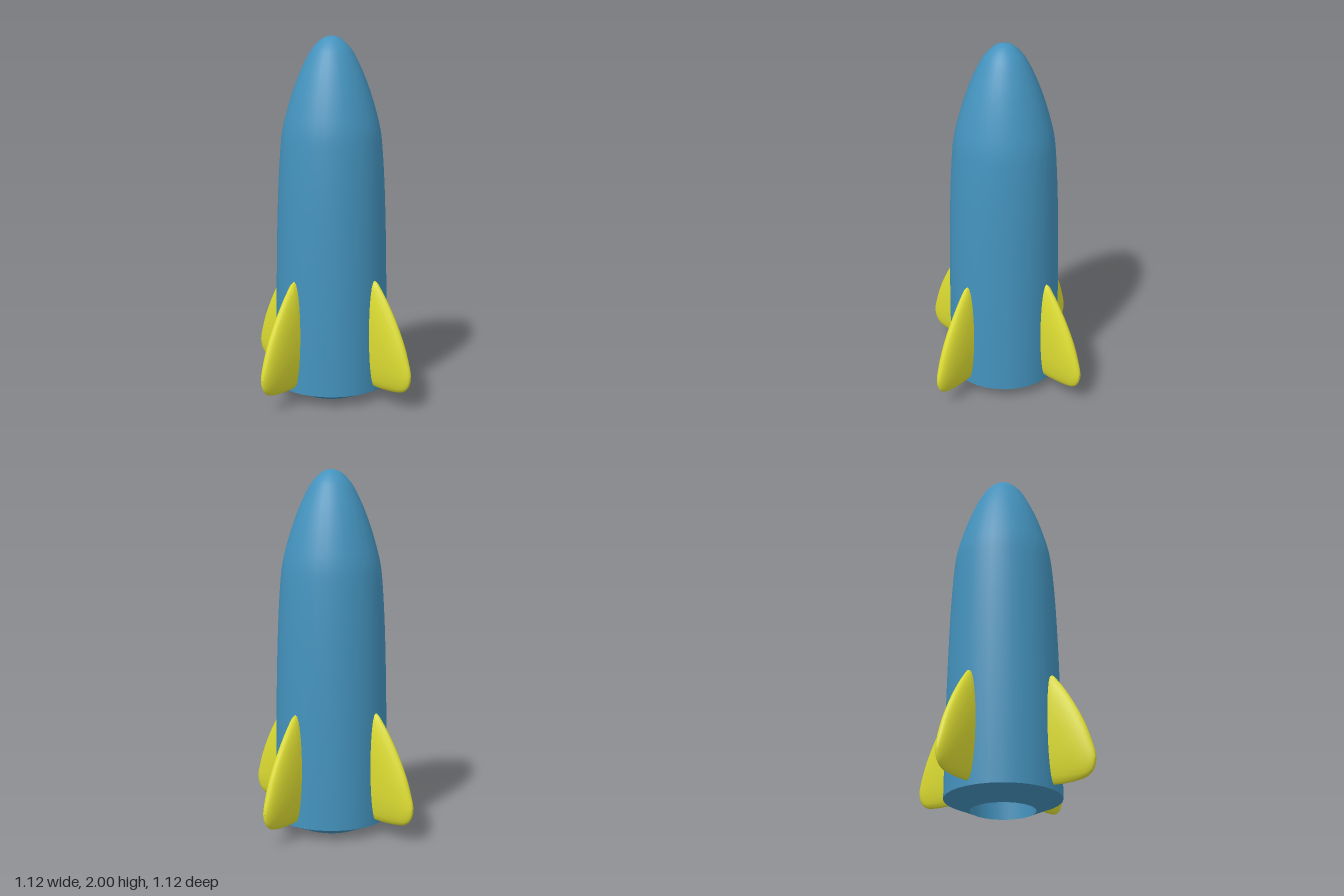
import * as THREE from 'three';

const SIDES = 32;
const blue = new THREE.MeshStandardMaterial({ color: 0x4493be });
const yellow = new THREE.MeshStandardMaterial({ color: 0xdede33 });

// Surface of revolution; the profile runs from the underside outward and up
function lathe(name, points) {
  const mesh = new THREE.Mesh(new THREE.LatheGeometry(points, SIDES), blue);
  mesh.name = name;
  return mesh;
}

const v = (r, y) => new THREE.Vector2(r, y);

// Fin along +x: elliptical cross-sections lofted from root to tip
function finGeometry() {
  // (distance from axis, bottom edge, top edge)
  const outline = new THREE.CatmullRomCurve3([
    [0.29, 0.088, 0.685], [0.32, 0.086, 0.682], [0.35, 0.084, 0.648], [0.40, 0.083, 0.577],
    [0.46, 0.086, 0.475], [0.51, 0.096, 0.37], [0.543, 0.122, 0.275],
    [0.558, 0.155, 0.222], [0.562, 0.187, 0.189],
  ].map((p) => new THREE.Vector3(...p)));
  const rings = 28, around = 24;
  const positions = [], indices = [];
  for (let i = 0; i <= rings; i++) {
    const { x, y: bottom, z: top } = outline.getPoint(i / rings);
    const u = Math.max(0, (x - 0.3) / 0.264);
    const thick = 0.043 * Math.sqrt(Math.max(0, 1 - u ** 3));
    for (let j = 0; j < around; j++) {
      const a = (j / around) * Math.PI * 2;
      positions.push(x, (top + bottom) / 2 + ((top - bottom) / 2) * Math.cos(a), thick * Math.sin(a) - 0.003);
      if (i < rings) {
        const p = i * around + j, q = i * around + ((j + 1) % around);
        indices.push(p, q, p + around, q, q + around, p + around);
      }
    }
  }
  const geometry = new THREE.BufferGeometry();
  geometry.setAttribute('position', new THREE.Float32BufferAttribute(positions, 3));
  geometry.setIndex(indices);
  geometry.computeVertexNormals();
  return geometry;
}

export function createModel() {
  const model = new THREE.Group();
  model.name = 'rocket';

  // Hull: slightly tapered tube that curves into a rounded nose
  const hull = new THREE.SplineCurve([
    v(0.313, 0.06), v(0.312, 0.35), v(0.309, 0.65), v(0.303, 0.95), v(0.294, 1.2),
    v(0.281, 1.4), v(0.268, 1.5), v(0.243, 1.6), v(0.212, 1.7), v(0.174, 1.8),
    v(0.125, 1.9), v(0.088, 1.95), v(0.045, 1.987), v(0, 2),
  ]).getPoints(52);
  hull[hull.length - 1].set(0, 2);
  model.add(lathe('hull', hull));

  // Sloping base and the recessed exhaust opening
  model.add(lathe('baseBevel', [v(0.178, 0.004), v(0.313, 0.06)]));
  model.add(lathe('exhaustRim', [v(0.172, 0), v(0.178, 0.004)]));
  model.add(lathe('exhaustWall', [v(0.172, 0.15), v(0.172, 0)]));
  model.add(lathe('exhaustCeiling', [v(0, 0.15), v(0.172, 0.15)]));

  // Four fins, a quarter turn apart
  const fin = finGeometry();
  ['finLeft', 'finBack', 'finRight', 'finFront'].forEach((name, i) => {
    const mesh = new THREE.Mesh(fin, yellow);
    mesh.name = name;
    mesh.rotation.y = (i * Math.PI) / 2;
    model.add(mesh);
  });

  return model;
}
